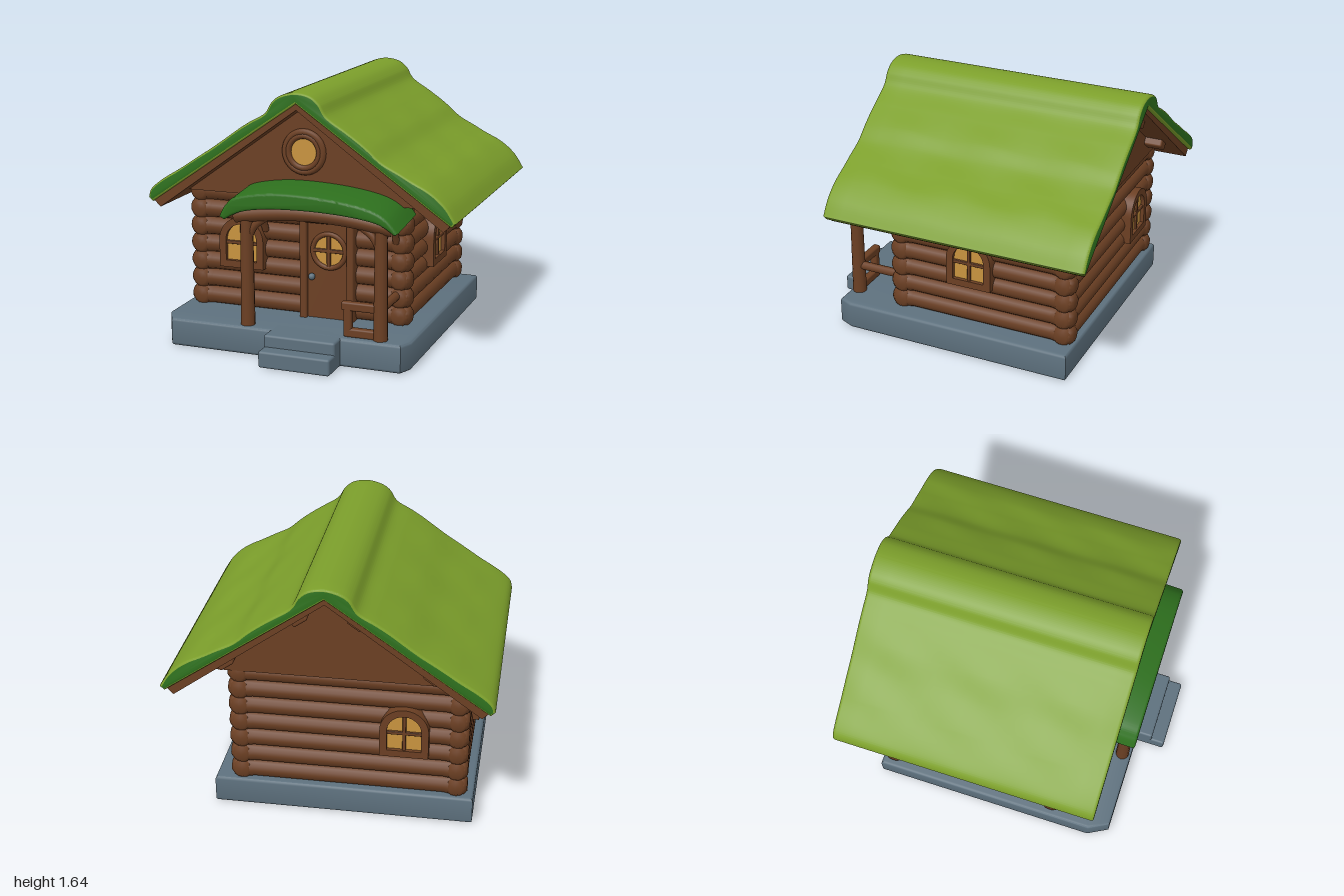
import * as THREE from 'three';
import { toCreasedNormals } from 'three/addons/utils/BufferGeometryUtils.js';
import { RoundedBoxGeometry } from 'three/addons/geometries/RoundedBoxGeometry.js';

const material = (name, color) => {
  const m = new THREE.MeshStandardMaterial({ color });
  m.name = name;
  return m;
};
const V = (x, y, z) => new THREE.Vector3(x, y, z);
const P = pts => pts.map(p => new THREE.Vector2(...p));

export function createModel() {
  const house = new THREE.Group();
  house.name = 'logCabin';
  const wood = material('brownWood', 0x6b3f23);
  const stone = material('greyStone', 0x5d707d);
  const moss = material('lightMoss', 0x7c9f2b);
  const darkMoss = material('darkMoss', 0x2d6f1d);
  const glass = material('amberGlass', 0xc8933f);

  const add = (name, geo, mat, x = 0, y = 0, z = 0, parent = house) => {
    const mesh = new THREE.Mesh(geo, mat);
    mesh.name = name;
    mesh.position.set(x, y, z);
    parent.add(mesh);
    return mesh;
  };
  // box given by its limits
  const block = (name, mat, [x0, x1], [y0, y1], [z0, z1], r = 0.012, parent = house) =>
    add(name, new RoundedBoxGeometry(x1 - x0, y1 - y0, z1 - z0, 2, r), mat,
      (x0 + x1) / 2, (y0 + y1) / 2, (z0 + z1) / 2, parent);
  const extrude = (shape, z0, z1, bevel = 0, steps = 1) => new THREE.ExtrudeGeometry(shape, {
    depth: z1 - z0 - 2 * bevel, steps, curveSegments: 16, bevelEnabled: bevel > 0,
    bevelThickness: bevel, bevelSize: bevel, bevelOffset: -bevel, bevelSegments: 3,
  }).translate(0, 0, z0 + bevel);
  const pole = (name, pts, r) =>
    add(name, new THREE.TubeGeometry(new THREE.CatmullRomCurve3(pts), 10, r, 10), wood);

  // Stone base and steps
  const plan = new THREE.Shape(P([[-0.88, 0.79], [0.74, 0.79], [0.74, -0.72], [0.7, -0.81],
    [-0.81, -0.81], [-0.88, -0.68]]));
  add('foundation', toCreasedNormals(extrude(plan, 0, 0.18, 0.02).rotateX(-Math.PI / 2), 0.7), stone);
  block('lowerStep', stone, [-0.14, 0.32], [0, 0.105], [0.7, 1], 0.015);
  block('upperStep', stone, [-0.14, 0.32], [0.05, 0.18], [0.7, 0.91], 0.015);

  // Log walls, each log with thicker rounded ends
  block('wallCore', wood, [-0.77, 0.57], [0.16, 0.97], [-0.71, 0.4]);
  const logGeometry = length => {
    const h = length / 2;
    const end = [[0, h], [0.04, h], [0.062, h - 0.02], [0.07, h - 0.06], [0.066, h - 0.11], [0.06, h - 0.15]];
    const other = end.map(([r, y]) => [r, -y]);
    return new THREE.LatheGeometry(P([...other, ...end.reverse()]), 14);
  };
  const longLog = logGeometry(1.48).rotateZ(Math.PI / 2);
  const sideLog = logGeometry(1.25).rotateX(Math.PI / 2);
  for (let i = 0; i < 7; i++) {
    const y = 0.235 + i * 0.115;
    add('frontLog', longLog, wood, -0.1, y, 0.4);
    add('backLog', longLog, wood, -0.1, y, -0.71);
    add('leftLog', sideLog, wood, 0.57, y, -0.155);
    add('rightLog', sideLog, wood, -0.77, y, -0.155);
  }

  // Gable block and roof slab
  const gable = new THREE.Shape(P([[-0.8, 0.955], [0.8, 0.955], [0, 1.55]]));
  add('gable', extrude(gable, -0.785, 0.55), wood);
  const slab = new THREE.Shape(P([[0, 1.595], [-0.97, 0.915], [-0.92, 0.865], [0, 1.53],
    [0.92, 0.865], [0.97, 0.915]]));
  add('roofSlab', extrude(slab, -0.965, 0.705), wood);
  for (const x of [-0.62, -0.17, 0.17, 0.62]) {
    const purlin = block('purlin', wood, [x - 0.05, x + 0.05], [1.48 - 0.725 * Math.abs(x), 1.54 - 0.725 * Math.abs(x)], [-0.9, -0.75]);
    purlin.rotation.z = -Math.sign(x) * 0.62;
  }

  // Mossy roof: wavy profile, with gentle lumps along its length
  const crest = [[-0.995, 0.925], [-0.96, 0.995], [-0.78, 1.12], [-0.6, 1.235], [-0.45, 1.345],
    [-0.3, 1.44], [-0.2, 1.5], [-0.15, 1.575], [-0.09, 1.615], [0, 1.635], [0.09, 1.62],
    [0.15, 1.575], [0.2, 1.5], [0.32, 1.42], [0.45, 1.335], [0.55, 1.25], [0.68, 1.18],
    [0.82, 1.11], [0.93, 1.02], [0.995, 0.925]];
  const roof = new THREE.Shape();
  roof.moveTo(...crest[0]);
  roof.splineThru(P(crest.slice(1)));
  roof.lineTo(0.97, 0.9);
  roof.lineTo(0, 1.57);
  roof.lineTo(-0.97, 0.9);
  roof.closePath();
  const thatch = new THREE.ExtrudeGeometry(roof, {
    depth: 1.67, steps: 16, curveSegments: 50, bevelThickness: 0.02, bevelSize: 0.012,
    bevelOffset: -0.01, bevelSegments: 3,
  }).translate(0, 0, -0.97);
  const pos = thatch.attributes.position;
  for (let i = 0; i < pos.count; i++) {
    const x = pos.getX(i), z = pos.getZ(i);
    const fade = Math.min(1, Math.max(0, (Math.abs(x) - 0.2) * 4)) * Math.max(0, Math.min(1, (0.97 - Math.abs(x)) * 5));
    pos.setY(i, pos.getY(i) + 0.007 * fade * Math.sin(11 * z + 7 * x) * Math.cos(13 * x));
  }
  add('mossRoof', toCreasedNormals(thatch, 0.75), [darkMoss, moss]);

  // Curved porch roof, sloping down to the front
  const awning = new THREE.Shape();
  awning.moveTo(-0.46, 0.91);
  awning.splineThru(P([[-0.42, 0.98], [-0.34, 1.04], [-0.1, 1.08], [0.2, 1.075], [0.46, 1.04], [0.6, 0.985], [0.68, 0.9]]));
  awning.lineTo(0.66, 0.885);
  awning.splineThru(P([[0.55, 0.945], [0.35, 0.975], [0.1, 0.985], [-0.15, 0.975], [-0.32, 0.945], [-0.43, 0.89]]));
  awning.closePath();
  const canopy = extrude(awning, 0.45, 0.83, 0.016);
  const cp = canopy.attributes.position;
  for (let i = 0; i < cp.count; i++) cp.setY(i, cp.getY(i) - 0.1 * (cp.getZ(i) - 0.45));
  add('porchRoof', toCreasedNormals(canopy, 0.8), darkMoss);

  // Porch posts, beams, braces and railing
  pole('porchBeam', [V(-0.38, 0.87, 0.755), V(-0.1, 0.905, 0.755), V(0.12, 0.915, 0.755), V(0.35, 0.905, 0.755), V(0.63, 0.87, 0.755)], 0.045);
  for (const [x, s] of [[-0.31, 1], [0.555, -1]]) {
    add('porchPost', new THREE.CylinderGeometry(0.038, 0.045, 0.72, 12), wood, x, 0.53, 0.75);
    pole('porchSideBeam', [V(x, 0.885, 0.42), V(x, 0.88, 0.6), V(x, 0.875, 0.78)], 0.035);
    pole('frontBrace', [V(x, 0.71, 0.75), V(x + s * 0.05, 0.81, 0.75), V(x + s * 0.15, 0.885, 0.75)], 0.024);
    for (const z of [0.74, 0.46])
      pole('sideBrace', [V(x, 0.71, z), V(x, 0.8, z + (0.6 - z) * 0.35), V(x, 0.86, 0.6)], 0.022);
  }
  pole('sideRail', [V(0.555, 0.37, 0.42), V(0.555, 0.37, 0.6), V(0.555, 0.37, 0.75)], 0.028);
  block('topRail', wood, [0.31, 0.55], [0.345, 0.4], [0.725, 0.775]);
  block('bottomRail', wood, [0.33, 0.55], [0.18, 0.235], [0.725, 0.775]);
  block('railPost', wood, [0.325, 0.375], [0.18, 0.39], [0.725, 0.775]);

  // Arched windows
  const arch = (Kind, w, y0, spring) => {
    const s = new Kind();
    s.moveTo(-w, y0);
    s.lineTo(w, y0);
    s.lineTo(w, spring);
    s.absarc(0, spring, w, 0, Math.PI, false);
    s.lineTo(-w, y0);
    return s;
  };
  const frame = arch(THREE.Shape, 0.15, 0.455, 0.635);
  frame.holes.push(arch(THREE.Path, 0.105, 0.5, 0.635));
  const frameGeometry = toCreasedNormals(extrude(frame, -0.07, 0.035), 0.6);
  const paneGeometry = new THREE.ShapeGeometry(arch(THREE.Shape, 0.11, 0.495, 0.635), 16);
  for (const [x, z, turn] of [[-0.465, 0.465, 0], [-0.45, -0.775, Math.PI],
    [0.635, -0.1, Math.PI / 2], [-0.835, -0.15, -Math.PI / 2]]) {
    const win = new THREE.Group();
    win.name = 'archedWindow';
    win.position.set(x, 0, z);
    win.rotation.y = turn;
    house.add(win);
    add('windowFrame', frameGeometry, wood, 0, 0, 0, win);
    add('windowPane', paneGeometry, glass, 0, 0, 0.01, win);
    block('uprightBar', wood, [-0.011, 0.011], [0.49, 0.745], [-0.01, 0.025], 0.005, win);
    block('crossBar', wood, [-0.11, 0.11], [0.605, 0.627], [-0.01, 0.025], 0.005, win);
  }

  // Door with round window and knob
  block('door', wood, [-0.03, 0.26], [0.17, 0.81], [0.4, 0.48]);
  block('doorJamb', wood, [-0.065, -0.018], [0.17, 0.84], [0.4, 0.51]);
  block('doorJamb', wood, [0.245, 0.292], [0.17, 0.84], [0.4, 0.51]);
  block('doorLintel', wood, [-0.065, 0.292], [0.795, 0.842], [0.4, 0.512]);
  add('doorPane', new THREE.CircleGeometry(0.105, 28), glass, 0.125, 0.62, 0.486);
  add('doorPaneRing', new THREE.TorusGeometry(0.108, 0.016, 8, 28), wood, 0.125, 0.62, 0.486);
  block('doorUprightBar', wood, [0.113, 0.137], [0.515, 0.725], [0.47, 0.498], 0.005);
  block('doorCrossBar', wood, [0.02, 0.23], [0.61, 0.634], [0.47, 0.498], 0.005);
  add('doorKnob', new THREE.SphereGeometry(0.022, 12, 8), stone, 0.015, 0.45, 0.5);

  // Round gable window
  add('gablePane', new THREE.CircleGeometry(0.09, 28), glass, -0.01, 1.25, 0.56);
  add('gableInnerRing', new THREE.TorusGeometry(0.1, 0.018, 8, 32), wood, -0.01, 1.25, 0.56);
  add('gableOuterRing', new THREE.TorusGeometry(0.123, 0.022, 8, 32), wood, -0.01, 1.25, 0.555);

  return house;
}
